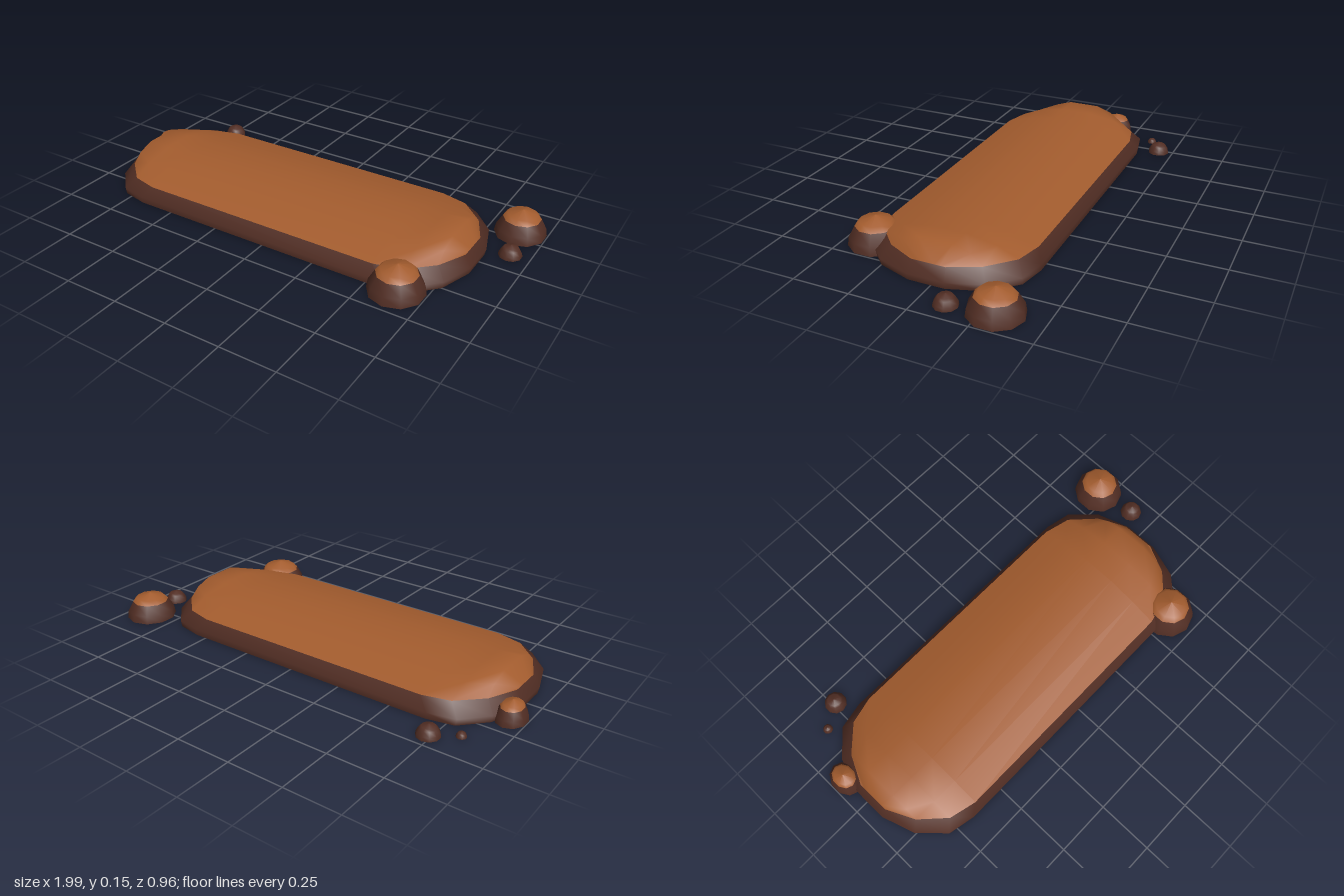
import * as THREE from 'three';

const topSoil = new THREE.MeshStandardMaterial({ name: 'topSoil', color: 0xa35c2e, side: THREE.DoubleSide });
const darkSoil = new THREE.MeshStandardMaterial({ name: 'darkSoil', color: 0x522e24, side: THREE.DoubleSide });

// Smooth surface through rows of [x, y, z] points; closed joins each row end to start
function loft(rows, closed) {
  const n = rows[0].length, index = [];
  for (let i = 0; i < rows.length - 1; i++) {
    for (let j = 0; j < (closed ? n : n - 1); j++) {
      const k = (j + 1) % n;
      const a = i * n + j, b = a + n, d = i * n + k, c = d + n;
      index.push(a, d, b, d, c, b);
    }
  }
  const geo = new THREE.BufferGeometry();
  geo.setAttribute('position', new THREE.Float32BufferAttribute(rows.flat(2), 3));
  geo.setIndex(index);
  geo.computeVertexNormals();
  return geo;
}

// Mirror one quarter outline into a full ring at height y
function ring(quarter, y, s = 1) {
  const back = [...quarter].reverse();
  return [
    ...quarter.map(([x, z]) => [x * s, y, z * s]),
    ...back.map(([x, z]) => [-x * s, y, z * s]),
    ...quarter.map(([x, z]) => [-x * s, y, -z * s]),
    ...back.map(([x, z]) => [x * s, y, -z * s]),
  ];
}

function addMesh(parent, name, geo, material) {
  const mesh = new THREE.Mesh(geo, material);
  mesh.name = name;
  parent.add(mesh);
  return mesh;
}

function createMound() {
  const mound = new THREE.Group();
  mound.name = 'mound';
  mound.position.set(-0.055, 0, 0.02);

  // Arched top: x, then [z, y] from the edge towards the middle
  const half = [
    [0.57, [[0.33, 0.08], [0.21, 0.115], [0.075, 0.138]]],
    [0.69, [[0.30, 0.08], [0.21, 0.118], [0.075, 0.142]]],
    [0.795, [[0.20, 0.08], [0.15, 0.122], [0.075, 0.147]]],
    [0.855, [[0.075, 0.08], [0.05, 0.08], [0.025, 0.08]]],
  ];
  const section = ([x, pts], side) => [
    ...pts.map(([z, y]) => [x * side, y, -z]),
    ...[...pts].reverse().map(([z, y]) => [x * side, y, z]),
  ];
  const rows = [
    ...[...half].reverse().map((h) => section(h, -1)),
    ...half.map((h) => section(h, 1)),
  ];
  addMesh(mound, 'moundTop', loft(rows, false), topSoil);

  // Dark skirt and underside
  const rim = [[0.855, 0.075], [0.795, 0.2], [0.69, 0.3], [0.57, 0.33]];
  const foot = [[0.885, 0.08], [0.835, 0.23], [0.735, 0.335], [0.615, 0.36]];
  addMesh(mound, 'moundSkirt', loft([ring(rim, 0.08), ring(foot, 0.03), ring(foot, 0, 0.993)], true), darkSoil);
  addMesh(mound, 'moundUnderside',
    loft([ring(foot, 0, 0.993), ring(foot, 0.015, 0.8), ring(foot, 0.02, 0.001)], true), darkSoil);
  return mound;
}

// Open dome with a dark base and, on larger clods, a lighter cap
function createClod(name, x, z, rx, rz, h, capped) {
  const clod = new THREE.Group();
  clod.name = name;
  const profile = [[1, 0], [0.95, 0.3], [0.73, 0.67], [0.57, 0.83], [0.001, 1]]
    .map(([r, y]) => new THREE.Vector2(r, y));
  const base = capped ? profile.slice(0, 3) : profile;
  addMesh(clod, 'clodBase', new THREE.LatheGeometry(base, 10), darkSoil);
  if (capped) addMesh(clod, 'clodCap', new THREE.LatheGeometry(profile.slice(2), 10), topSoil);
  clod.scale.set(rx, h, rz);
  clod.position.set(x, 0, z);
  return clod;
}

export function createModel() {
  const model = new THREE.Group();
  model.name = 'dirtPatch';
  model.add(createMound());
  model.add(
    createClod('frontClod', 0.63, 0.36, 0.12, 0.12, 0.128, true),
    createClod('backClod', 0.888, -0.305, 0.112, 0.115, 0.117, true),
    createClod('sideClod', -0.935, -0.14, 0.065, 0.08, 0.088, true),
    createClod('smallClodLeft', 0.915, -0.115, 0.05, 0.05, 0.052, false),
    createClod('smallClodRight', -0.735, -0.43, 0.05, 0.05, 0.052, false),
    createClod('crumb', -0.84, -0.365, 0.022, 0.022, 0.023, false),
  );
  return model;
}
